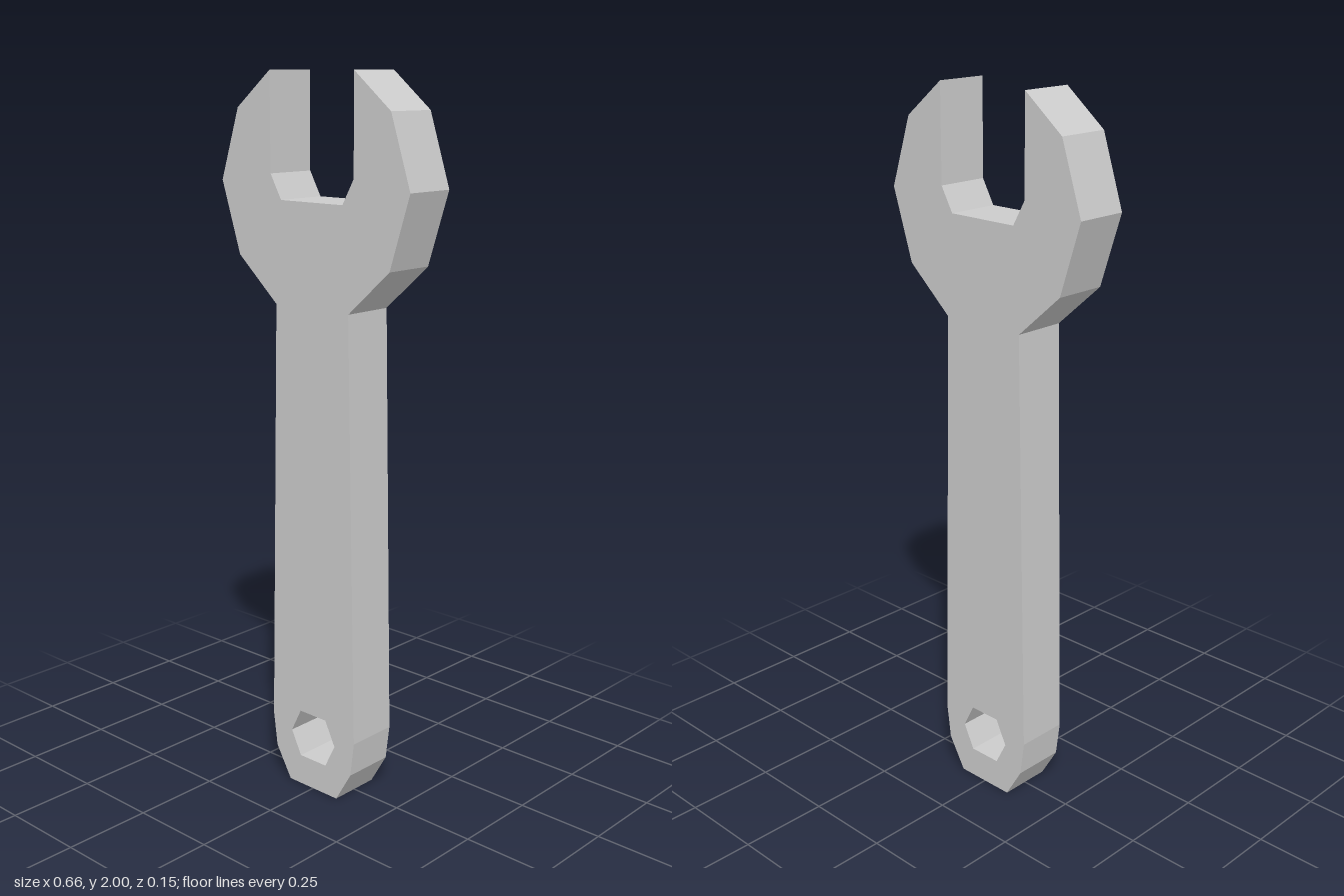
import * as THREE from 'three';

const THICKNESS = 0.152;

// Closed outline from its +x half, mirrored to -x
function mirrored(half) {
  const other = half.map(([x, y]) => [-x, y]).reverse();
  return [...half, ...other].map(([x, y]) => new THREE.Vector2(x, y));
}

export function createModel() {
  const group = new THREE.Group();
  group.name = 'wrench';

  // Half outline, from the foot of the handle up to the jaw throat
  const outline = new THREE.Shape(mirrored([
    [0.09, 0], [0.143, 0.09], [0.156, 0.19], // rounded handle end
    [0.13, 1.39], // neck
    [0.268, 1.512], [0.332, 1.71], [0.268, 1.903], [0.147, 2], // outer jaw
    [0.147, 1.735], [0.109, 1.668], // inner jaw and throat
  ]));

  // Six-sided hanging hole
  outline.holes.push(new THREE.Path(mirrored([
    [0.048, 0.088], [0.083, 0.157], [0.048, 0.227],
  ])));

  const geometry = new THREE.ExtrudeGeometry(outline, { depth: THICKNESS, bevelEnabled: false });
  geometry.translate(0, 0, -THICKNESS / 2);

  const body = new THREE.Mesh(
    geometry,
    new THREE.MeshStandardMaterial({ color: 0xcccccc, flatShading: true })
  );
  body.name = 'wrenchBody';
  group.add(body);
  return group;
}
